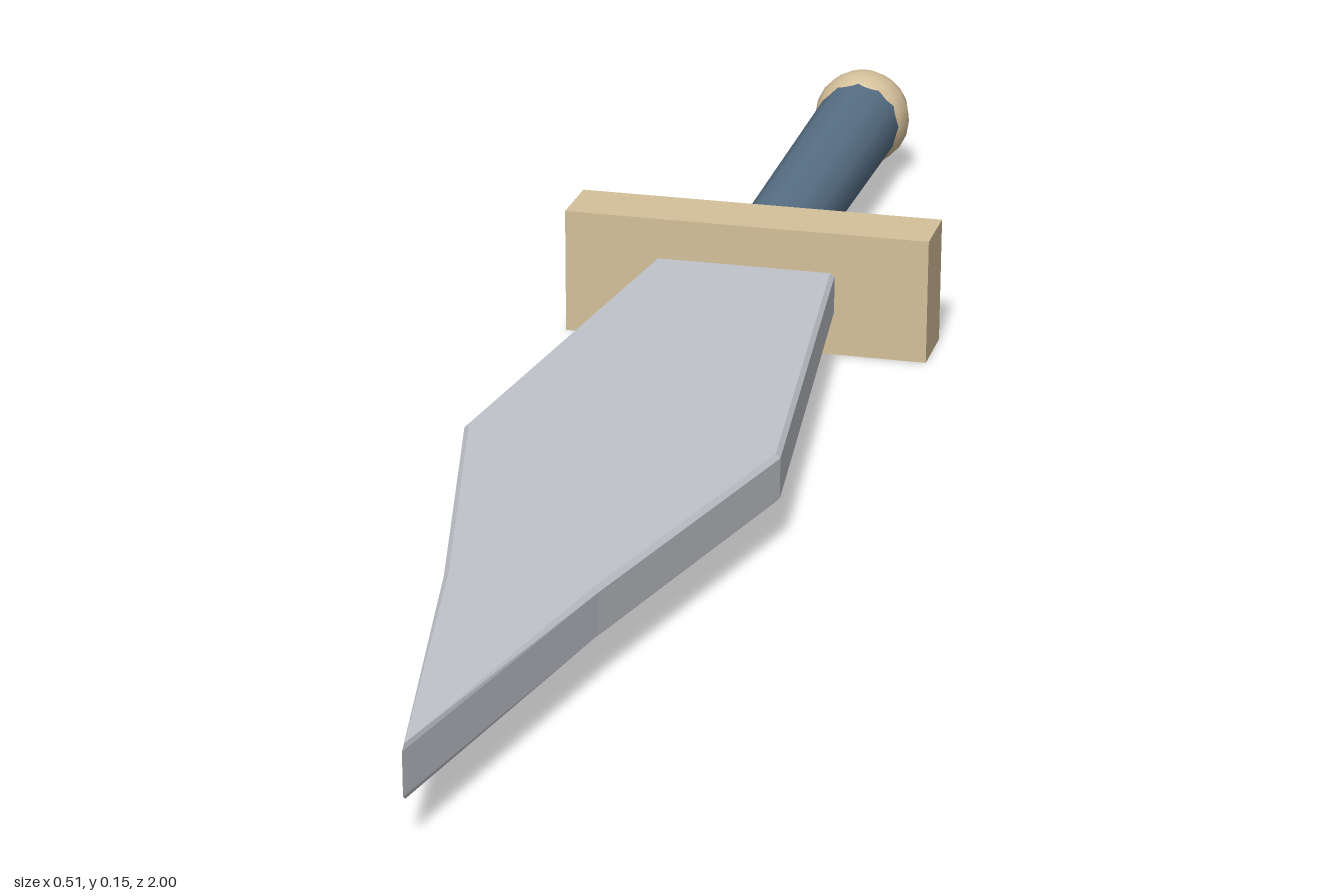
import * as THREE from 'three';

const material = (name, color) => {
  const m = new THREE.MeshStandardMaterial({ color });
  m.name = name;
  return m;
};

export function createModel() {
  const brass = material('pale brass', 0xd4c09a);
  const steel = material('steel', 0xc0c3ca);
  const leather = material('blue leather', 0x587187);
  const crystal = material('pale teal', 0xa2ced7);

  const model = new THREE.Group();
  model.name = 'sword';

  // The sword lies flat, turned a little about the middle of its guard
  const sword = new THREE.Group();
  sword.name = 'swordBody';
  sword.position.set(-0.035, 0.075, -0.323);
  sword.rotation.y = 0.198;
  model.add(sword);

  const add = (name, geometry, mat, x, y, z) => {
    const mesh = new THREE.Mesh(geometry, mat);
    mesh.name = name;
    mesh.position.set(x, y, z);
    sword.add(mesh);
  };

  // Crossguard
  add('guard', new THREE.BoxGeometry(0.437, 0.15, 0.081), brass, 0, 0, 0);

  // Grip, slightly thicker towards the pommel
  const gripLength = 0.54;
  const grip = new THREE.CylinderGeometry(0.048, 0.055, gripLength, 12).rotateX(Math.PI / 2);
  add('grip', grip, leather, 0, 0.002, -0.065 - gripLength / 2);

  // Pommel
  add('pommel', new THREE.SphereGeometry(0.063, 14, 10), brass, 0, 0.002, -0.627);

  // Blade: half outline mirrored, with a narrow bevel
  const half = [[0.108, 0.041], [0.172, 0.6], [0.078, 0.975]];
  const outline = [
    ...half,
    [0, 1.35],
    ...half.map(([x, y]) => [-x, y]).reverse(),
  ].map(([x, y]) => new THREE.Vector2(x, y));
  const bevel = 0.005;
  const thickness = 0.055;
  const blade = new THREE.ExtrudeGeometry(new THREE.Shape(outline), {
    depth: thickness - 2 * bevel,
    bevelEnabled: true,
    bevelThickness: bevel,
    bevelSize: bevel,
    bevelOffset: -bevel,
    bevelSegments: 1,
  });
  blade.translate(0, 0, bevel - thickness / 2).rotateX(Math.PI / 2);
  add('blade', blade, steel, 0, 0.0005, 0);

  // Raised inlay along the underside of the blade
  add('inlay', new THREE.BoxGeometry(0.027, 0.045, 0.757), crystal, 0, -0.0405, 0.604);

  return model;
}
